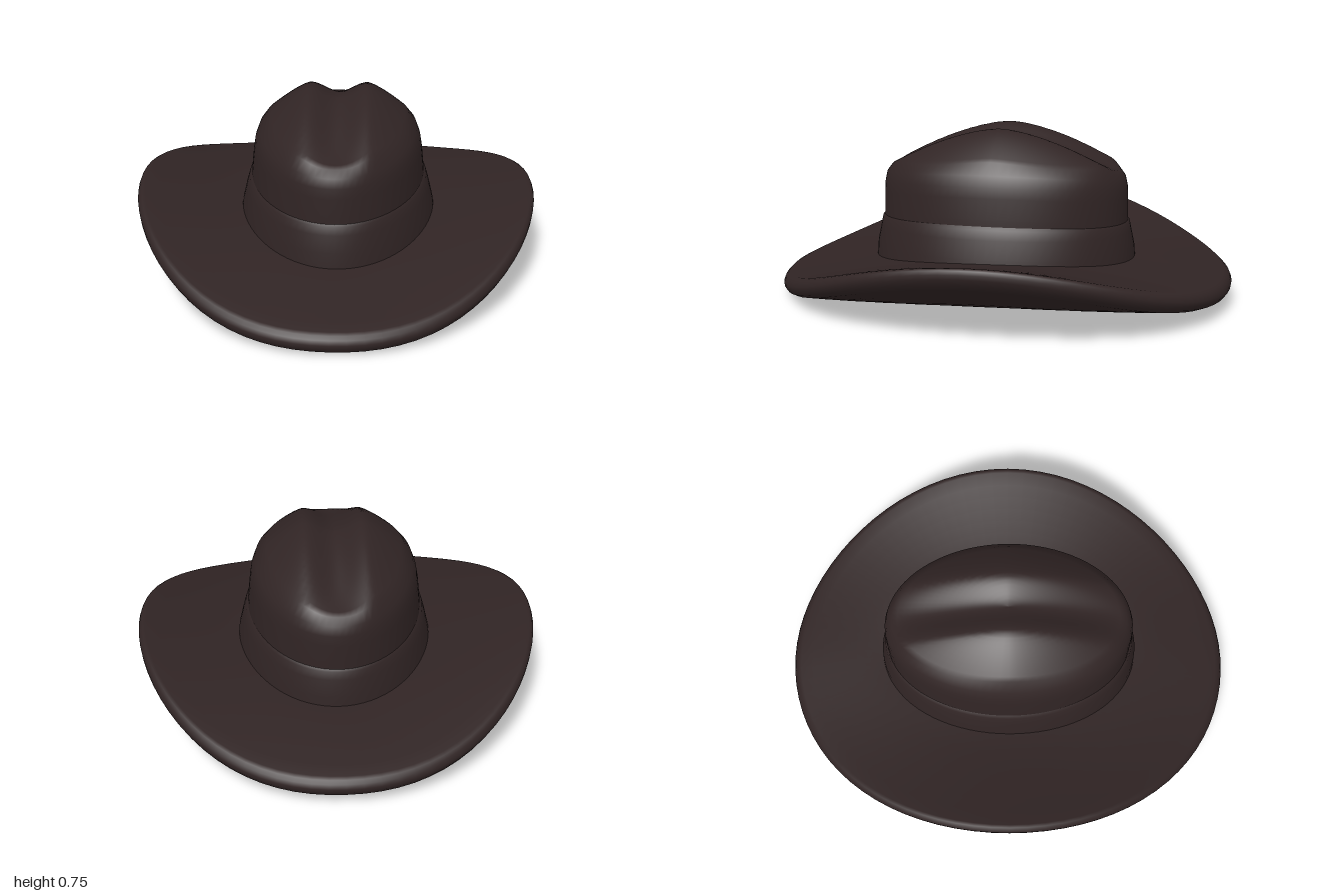
import * as THREE from 'three';

const SEGMENTS = 80;

// Closed loops stacked into one smooth skin: point(ring, angle) -> [x, y, z]
function loft(rings, point) {
  const positions = [], index = [];
  rings.forEach((ring) => {
    for (let j = 0; j < SEGMENTS; j++) positions.push(...point(ring, (j / SEGMENTS) * Math.PI * 2));
  });
  for (let k = 0; k < rings.length - 1; k++) {
    for (let j = 0; j < SEGMENTS; j++) {
      const a = k * SEGMENTS + j, c = k * SEGMENTS + ((j + 1) % SEGMENTS);
      index.push(a, a + SEGMENTS, c, c, a + SEGMENTS, c + SEGMENTS);
    }
  }
  const geometry = new THREE.BufferGeometry();
  geometry.setAttribute('position', new THREE.Float32BufferAttribute(positions, 3));
  geometry.setIndex(index);
  geometry.computeVertexNormals();
  return geometry;
}

// Brim: half width, half length and the underside that sweeps up at the sides
const WIDTH = 0.876, LENGTH = 1.004;
const tilt = (x, z) => -0.02 * z - 0.012 * x;
const underside = (x, z) => 0.015 + 0.37 * Math.abs(x) ** 2.6 + 0.025 * z ** 4 + tilt(x, z);

function brimPoint({ r, lift, top }, t) {
  const c = Math.cos(t), s = Math.sin(t);
  if (top === undefined) {
    const x = WIDTH * r * c, z = LENGTH * r * s;
    return [x, underside(x, z) + lift, z];
  }
  // upper face runs from the rim (top = 0) to the foot of the crown (top = 1)
  const x = THREE.MathUtils.lerp(WIDTH * 0.965, 0.4, top) * c;
  const z = THREE.MathUtils.lerp(LENGTH * 0.965, 0.55, top) * s;
  const rimY = underside(WIDTH * 0.965 * c, LENGTH * 0.965 * s) + 0.085;
  const footY = 0.185 + 0.05 * c * c + tilt(x, z);
  return [x, THREE.MathUtils.lerp(rimY, footY, 1 - (1 - top) ** 1.3), z];
}

function brimRings() {
  const rings = [];
  for (let i = 0; i <= 12; i++) rings.push({ r: (i / 12) * 0.96, lift: 0 });
  rings.push({ r: 0.985, lift: 0.008 }, { r: 0.998, lift: 0.025 }, { r: 1, lift: 0.042 },
    { r: 0.993, lift: 0.062 }, { r: 0.98, lift: 0.076 });
  for (let i = 0; i <= 8; i++) rings.push({ top: i / 8 });
  return rings;
}

// Crown top: falls away to front and back, with a crease along the middle
const TOP_W = 0.31, TOP_L = 0.51;
function crownTop(x, z) {
  const ax = Math.abs(x), az = Math.abs(z);
  const cross = ax < 0.13
    ? -0.045 * Math.cos((Math.PI * ax) / 0.26) ** 2 * (1 - (az / TOP_L) ** 4)
    : -0.115 * ((ax - 0.13) / 0.18) ** 1.3;
  return 0.757 - 0.53 * az ** 1.6 + cross;
}

// Wall rings: half width, half length, height at the sides, height at the ends
const wall = ([w, l, side, end], t) => {
  const c = Math.cos(t), s = Math.sin(t);
  return [w * c + 0.008, THREE.MathUtils.lerp(end, side, c * c), l * s];
};

function crownPoint(ring, t) {
  if (Array.isArray(ring)) return wall(ring, t);
  const x = TOP_W * ring.q * Math.cos(t), z = TOP_L * ring.q * Math.sin(t);
  return [x + 0.008, crownTop(x, z), z];
}

function crownRings() {
  const rings = [
    [0.39, 0.55, 0.16, 0.14], [0.385, 0.548, 0.34, 0.32], [0.38, 0.547, 0.41, 0.38],
    [0.37, 0.546, 0.5, 0.46], [0.362, 0.543, 0.545, 0.505], [0.345, 0.534, 0.59, 0.545],
  ];
  for (let i = 0; i <= 18; i++) rings.push({ q: 1 - i / 18 });
  return rings;
}

export function createModel() {
  const felt = new THREE.MeshStandardMaterial({ color: 0x302424 });
  felt.name = 'darkBrownFelt';
  const hat = new THREE.Group();
  hat.name = 'hat';
  const add = (name, geometry) => {
    const mesh = new THREE.Mesh(geometry, felt);
    mesh.name = name;
    hat.add(mesh);
  };

  add('brim', loft(brimRings(), brimPoint));
  add('crown', loft(crownRings(), crownPoint));

  // Band hugging the foot of the crown
  add('hatBand', loft([
    [0.435, 0.585, 0.18, 0.14], [0.425, 0.578, 0.25, 0.24], [0.405, 0.563, 0.33, 0.31],
    [0.393, 0.556, 0.37, 0.345], [0.38, 0.545, 0.385, 0.355],
  ], wall));

  // The hat sits slightly turned
  hat.rotation.y = 0.18;
  const model = new THREE.Group();
  model.name = 'cowboyHat';
  model.add(hat);
  return model;
}
